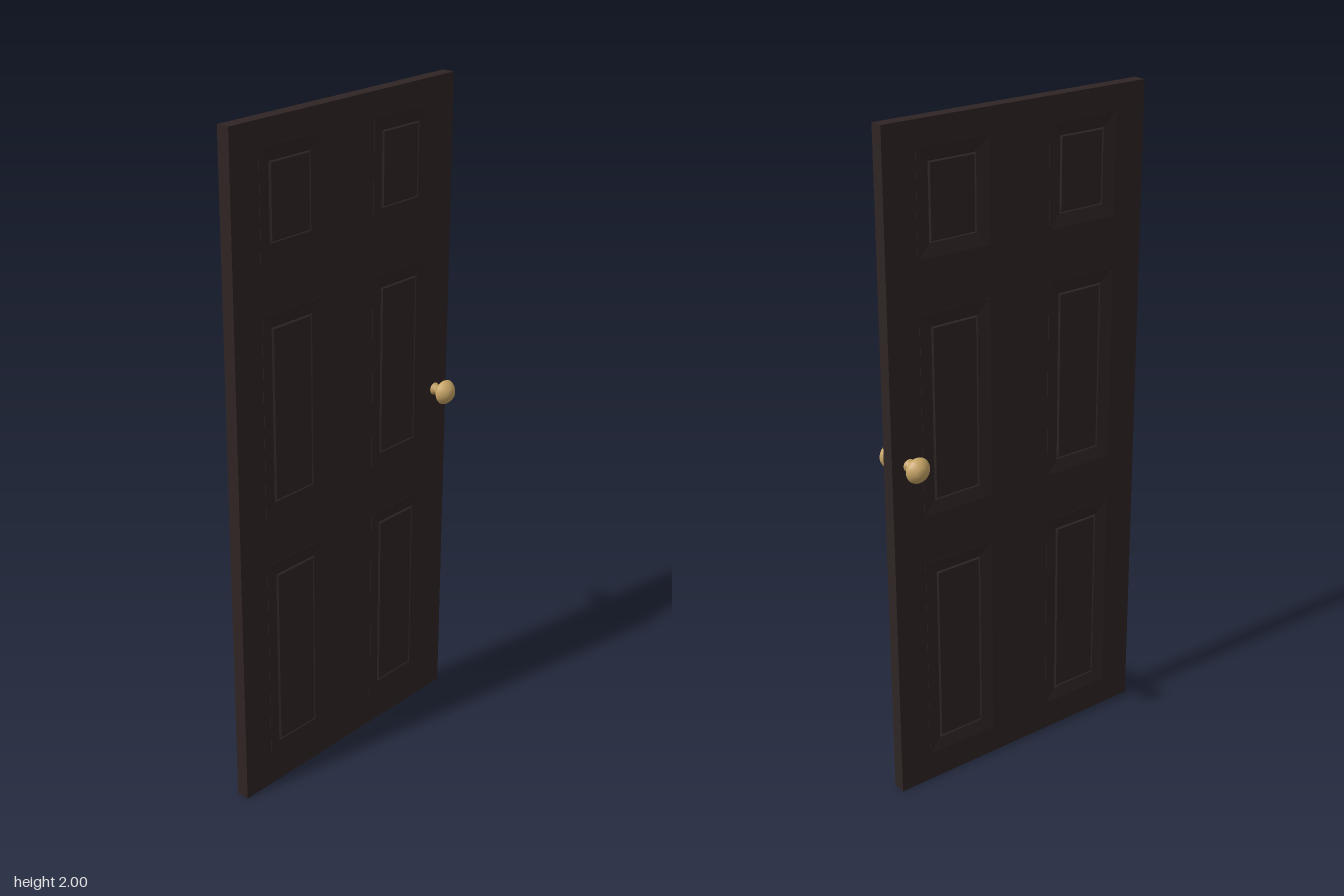
import * as THREE from 'three';

const wood = new THREE.MeshStandardMaterial({ color: 0x2f2424 });
wood.name = 'darkWood';
const brass = new THREE.MeshStandardMaterial({ color: 0xc9a667 });
brass.name = 'brass';

const W = 0.88, H = 2, T = 0.04;
const COLUMNS = [[-0.338, -0.102], [0.102, 0.338]];
const ROWS = [[0.09, 0.733], [0.88, 1.477], [1.627, 1.928]];
// Panel section: [inset from the opening, distance from the door's mid plane]
const SECTION = [[0, 0.019], [0, 0.021], [0.04, 0.015], [0.043, 0.012], [0.047, 0.017]];

const rectangle = (u0, u1, v0, v1) => [[u0, v0], [u1, v0], [u1, v1], [u0, v1]];

// Nested rectangles joined by mitred strips and closed by the flat field
function panelGeometry(u0, u1, v0, v1) {
  const rings = SECTION.map(([d, z]) =>
    rectangle(u0 + d, u1 - d, v0 + d, v1 - d).map(([u, v]) => [u, v, z]));
  const positions = [];
  const quad = (a, b, c, d) => positions.push(...a, ...b, ...c, ...a, ...c, ...d);
  for (let r = 0; r < rings.length - 1; r++) {
    for (let i = 0; i < 4; i++) {
      const j = (i + 1) % 4;
      quad(rings[r][i], rings[r][j], rings[r + 1][j], rings[r + 1][i]);
    }
  }
  quad(...rings[rings.length - 1]);
  const geometry = new THREE.BufferGeometry();
  geometry.setAttribute('position', new THREE.Float32BufferAttribute(positions, 3));
  geometry.computeVertexNormals();
  return geometry;
}

// Door frame of stiles and rails with six openings
function createFrame() {
  const toPoints = (r) => r.map(([x, y]) => new THREE.Vector2(x, y));
  const shape = new THREE.Shape(toPoints(rectangle(-W / 2, W / 2, 0, H)));
  for (const c of COLUMNS) {
    for (const r of ROWS) shape.holes.push(new THREE.Path(toPoints(rectangle(...c, ...r))));
  }
  const geometry = new THREE.ExtrudeGeometry(shape, { depth: T, bevelEnabled: false });
  geometry.translate(0, 0, -T / 2).rotateY(-Math.PI / 2);
  const frame = new THREE.Mesh(geometry, wood);
  frame.name = 'doorFrame';
  return frame;
}

// Turned knob with a small collar, pointing along +z
function createKnob() {
  const profile = [
    [0, 0.018], [0.016, 0.018], [0.019, 0.022], [0.018, 0.026], [0.013, 0.03],
    [0.013, 0.034], [0.018, 0.04], [0.027, 0.048], [0.035, 0.056], [0.038, 0.063],
    [0.036, 0.07], [0.028, 0.08], [0.018, 0.088], [0.009, 0.091], [0, 0.0915],
  ].map(([r, y]) => new THREE.Vector2(r, y));
  const knob = new THREE.Mesh(new THREE.LatheGeometry(profile, 20).rotateX(Math.PI / 2), brass);
  knob.name = 'knob';
  return knob;
}

export function createModel() {
  const door = new THREE.Group();
  door.name = 'door';
  door.add(createFrame());

  // Same panels and knob on both faces
  for (const s of [1, -1]) {
    const side = new THREE.Group();
    side.name = s > 0 ? 'leftFace' : 'rightFace';
    side.rotation.y = s * Math.PI / 2;
    for (const c of COLUMNS) {
      for (const r of ROWS) {
        const panel = new THREE.Mesh(panelGeometry(...c, ...r), wood);
        panel.name = 'raisedPanel';
        side.add(panel);
      }
    }
    const knob = createKnob();
    knob.position.set(s * 0.385, 1.055, 0);
    side.add(knob);
    door.add(side);
  }
  return door;
}
